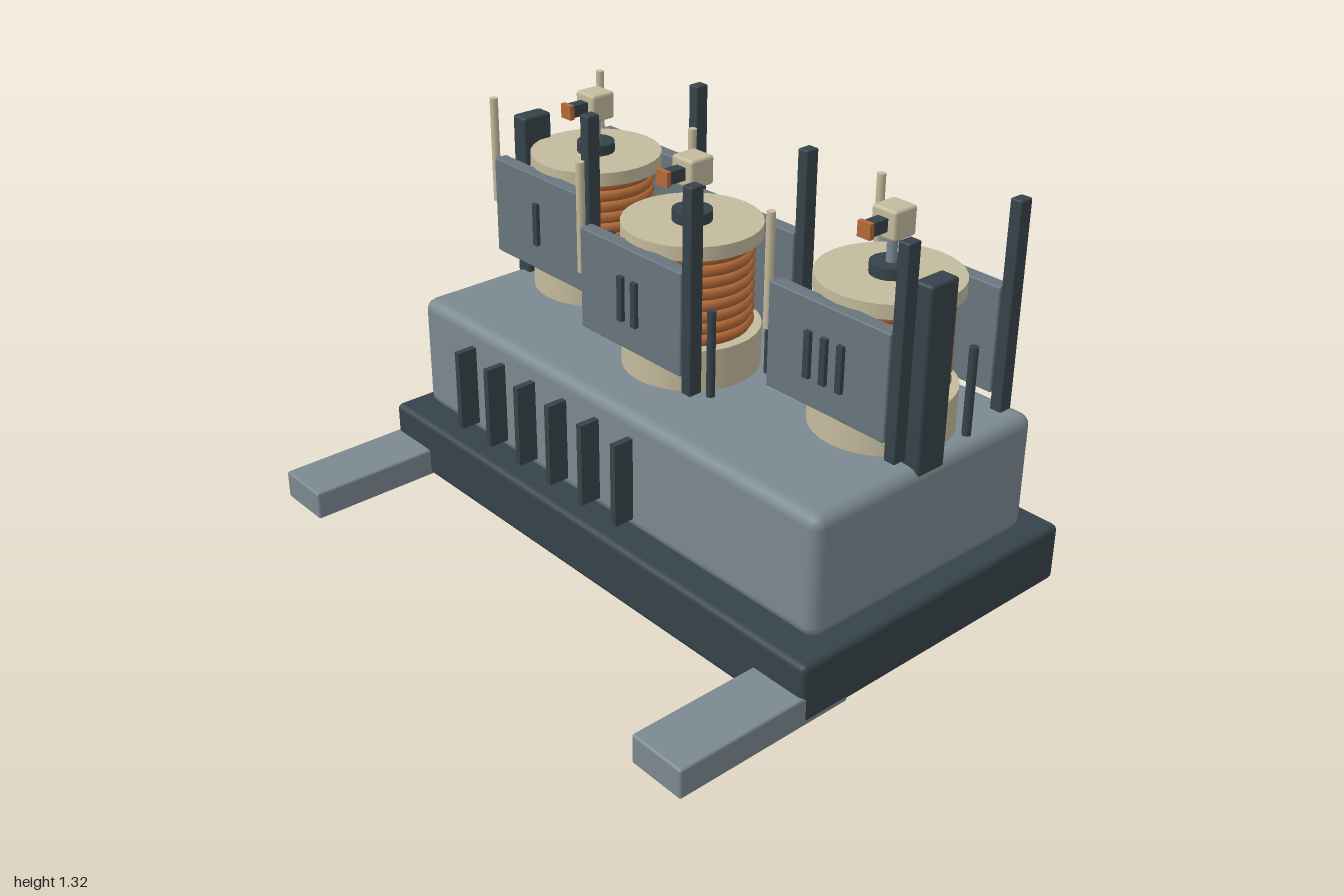
import * as THREE from 'three';
import { RoundedBoxGeometry } from 'three/addons/geometries/RoundedBoxGeometry.js';

const mat = (name, color) => {
  const m = new THREE.MeshStandardMaterial({ color });
  m.name = name;
  return m;
};

export function createModel() {
  const dark = mat('dark slate', 0x36434a);
  const steel = mat('grey steel', 0x7b8990);
  const panelGrey = mat('panel grey', 0x68767d);
  const cream = mat('cream insulator', 0xc4bb9d);
  const copper = mat('copper', 0xb46a38);

  const model = new THREE.Group();
  model.name = 'transformerBank';

  const add = (parent, name, geometry, material, x, y, z) => {
    const mesh = new THREE.Mesh(geometry, material);
    mesh.name = name;
    mesh.position.set(x, y, z);
    parent.add(mesh);
    return mesh;
  };
  // Box given by its ranges; an optional bevel rounds its edges
  const box = (parent, name, material, [x0, x1], [y0, y1], [z0, z1], bevel = 0) => {
    const size = [x1 - x0, y1 - y0, z1 - z0];
    const geometry = bevel ? new RoundedBoxGeometry(...size, 2, bevel) : new THREE.BoxGeometry(...size);
    return add(parent, name, geometry, material, (x0 + x1) / 2, (y0 + y1) / 2, (z0 + z1) / 2);
  };
  // Upright cylinder from y0 to y1
  const rod = (parent, name, material, r, y0, y1, x = 0, z = 0, sides = 12) =>
    add(parent, name, new THREE.CylinderGeometry(r, r, y1 - y0, sides), material, x, (y0 + y1) / 2, z);

  // Plinth, tank and the two ground rails
  box(model, 'plinth', dark, [-1, 1], [0.002, 0.2], [-0.78, 0.335], 0.02);
  box(model, 'tank', steel, [-0.935, 0.935], [0.2, 0.6], [-0.68, 0.24], 0.04);
  for (const s of [-1, 1]) {
    box(model, 'groundRail', steel, [s * 0.9 - 0.099, s * 0.9 + 0.099], [0, 0.097], [0.15, 0.78], 0.008);
    box(model, 'sideBar', dark, [s * 0.898 - 0.033, s * 0.898 + 0.033], [0.57, 1.163], [-0.277, -0.163], 0.01);
  }

  // Cooling fins on the front of the tank
  for (let i = 0; i < 6; i++) {
    const x = -0.64 + i * 0.16;
    box(model, 'coolingFin', dark, [x - 0.011, x + 0.011], [0.245, 0.525], [0.22, 0.31]);
  }

  // One coil unit, centred on its own axis; its panels carry as many ribs as its number
  const makeCoil = (ribs) => {
    const unit = new THREE.Group();
    unit.name = 'coilUnit';

    rod(unit, 'lowerInsulator', cream, 0.22, 0.59, 0.735, 0, 0, 32);
    rod(unit, 'upperInsulator', cream, 0.22, 1.03, 1.075, 0, 0, 32);
    rod(unit, 'coilCore', copper, 0.172, 0.73, 1.035, 0, 0, 32);
    for (let i = 0; i < 8; i++) {
      const ring = add(unit, 'windingRing', new THREE.TorusGeometry(0.176, 0.02, 6, 32), copper, 0, 0.752 + i * 0.038, 0);
      ring.rotation.x = Math.PI / 2;
    }

    // Terminal on top
    rod(unit, 'collar', dark, 0.063, 1.07, 1.11, 0, 0, 20);
    rod(unit, 'stem', steel, 0.016, 1.1, 1.2);
    box(unit, 'terminalHead', cream, [-0.046, 0.046], [1.19, 1.282], [-0.046, 0.046], 0.01);
    box(unit, 'terminalArm', dark, [-0.019, 0.019], [1.216, 1.256], [0.04, 0.108]);
    box(unit, 'terminalTip', copper, [-0.024, 0.024], [1.212, 1.26], [0.107, 0.124]);

    // Panel, ribs, post and rod on both the front and the back
    for (const s of [-1, 1]) {
      const z = s * 0.228;
      box(unit, 'panel', panelGrey, [-0.231, 0.231], [0.71, 1.045], [z - 0.024, z + 0.024], 0.005);
      for (let i = 0; i < ribs; i++) {
        const x = (i - (ribs - 1) / 2) * 0.063;
        const ribZ = s * 0.257;
        box(unit, 'panelRib', dark, [x - 0.011, x + 0.011], [0.803, 0.95], [ribZ - 0.009, ribZ + 0.009]);
      }
      box(unit, 'tallPost', dark, [0.235, 0.275], [0.66, 1.318], [z - 0.024, z + 0.024], 0.005);
      rod(unit, 'creamRod', cream, 0.014, 0.88, 1.243, -0.255, z);
      rod(unit, 'shortPin', dark, 0.014, 0.59, 0.885, 0.224, s * 0.121);
    }
    return unit;
  };

  [[-0.66, -0.305], [0, -0.145], [0.66, -0.305]].forEach(([x, z], i) => {
    const unit = makeCoil(i + 1);
    unit.position.set(x, 0, z);
    model.add(unit);
  });

  return model;
}
